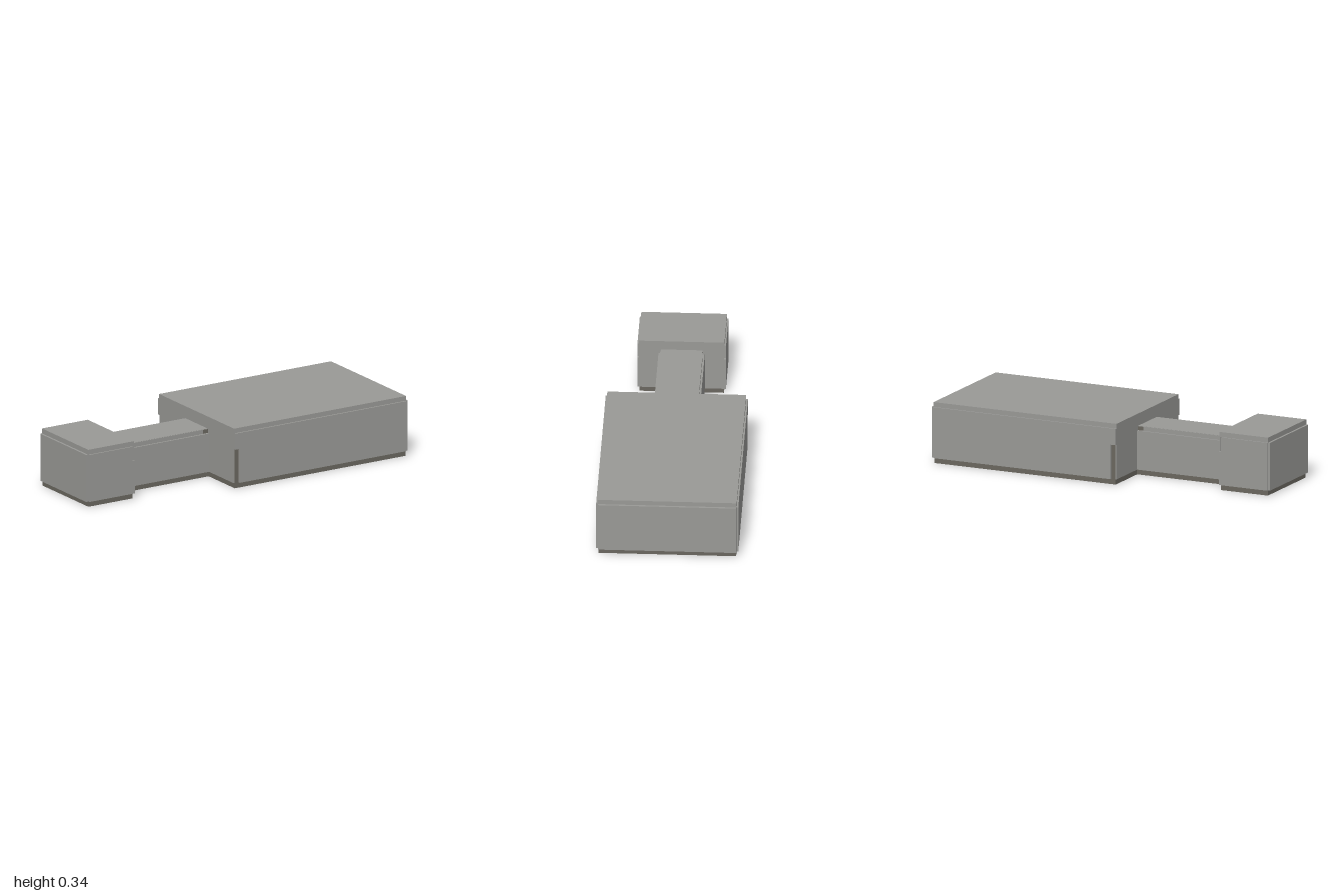
import * as THREE from 'three';

export function createModel() {
  const model = new THREE.Group();
  const panelGrey = new THREE.MeshStandardMaterial({ color: 0x999996 });
  panelGrey.name = 'panel grey';
  const coreGrey = new THREE.MeshStandardMaterial({ color: 0x6a675f });
  coreGrey.name = 'dark core grey';

  // Box given by its limits on each axis
  const box = (parent, name, mat, [x0, x1], [y0, y1], [z0, z1]) => {
    const mesh = new THREE.Mesh(new THREE.BoxGeometry(x1 - x0, y1 - y0, z1 - z0), mat);
    mesh.position.set((x0 + x1) / 2, (y0 + y1) / 2, (z0 + z1) / 2);
    mesh.name = name;
    parent.add(mesh);
  };

  // Front and back wall panels from one outline in x and y
  const sideWalls = (parent, outline, inner, outer) => {
    const shape = new THREE.Shape(outline.map(([x, y]) => new THREE.Vector2(x, y)));
    const geo = new THREE.ExtrudeGeometry(shape, { depth: outer - inner, bevelEnabled: false });
    for (const [name, z] of [['frontWall', inner], ['backWall', -outer]]) {
      const wall = new THREE.Mesh(geo, panelGrey);
      wall.position.z = z;
      wall.name = name;
      parent.add(wall);
    }
  };

  const part = (name) => {
    const g = new THREE.Group();
    g.name = name;
    model.add(g);
    return g;
  };

  // Large block, with a notch in the side walls at the inner end
  const body = part('mainBlock');
  box(body, 'core', coreGrey, [-0.126, 0.985], [0, 0.317], [-0.378, 0.378]);
  box(body, 'roof', panelGrey, [-0.132, 0.988], [0.317, 0.344], [-0.381, 0.381]);
  box(body, 'endWall', panelGrey, [0.985, 1], [0.03, 0.317], [-0.379, 0.379]);
  box(body, 'innerWall', panelGrey, [-0.132, -0.126], [0.03, 0.317], [-0.378, 0.378]);
  sideWalls(body, [[-0.1, 0.03], [0.985, 0.03], [0.985, 0.317], [-0.132, 0.317],
    [-0.132, 0.225], [-0.1, 0.225]], 0.378, 0.39);

  // Narrow link, whose roof edging stops short of both ends
  const link = part('link');
  box(link, 'core', coreGrey, [-0.695, -0.126], [0, 0.272], [-0.114, 0.114]);
  box(link, 'roof', panelGrey, [-0.692, -0.13], [0.272, 0.275], [-0.114, 0.114]);
  box(link, 'roofEdging', panelGrey, [-0.665, -0.165], [0.25, 0.274], [-0.117, 0.117]);
  sideWalls(link, [[-0.692, 0.03], [-0.13, 0.03], [-0.13, 0.25], [-0.692, 0.25]], 0.114, 0.127);

  // Small end block, with walls cut away at the upper inner corner
  const head = part('endBlock');
  box(head, 'core', coreGrey, [-0.985, -0.697], [0, 0.3], [-0.232, 0.232]);
  box(head, 'roof', panelGrey, [-0.988, -0.69], [0.3, 0.328], [-0.235, 0.235]);
  box(head, 'endWall', panelGrey, [-1, -0.985], [0.03, 0.3], [-0.233, 0.233]);
  box(head, 'innerWall', panelGrey, [-0.697, -0.69], [0.03, 0.3], [-0.233, 0.233]);
  sideWalls(head, [[-0.985, 0.03], [-0.69, 0.03], [-0.69, 0.22], [-0.704, 0.22],
    [-0.704, 0.3], [-0.985, 0.3]], 0.232, 0.243);

  return model;
}
